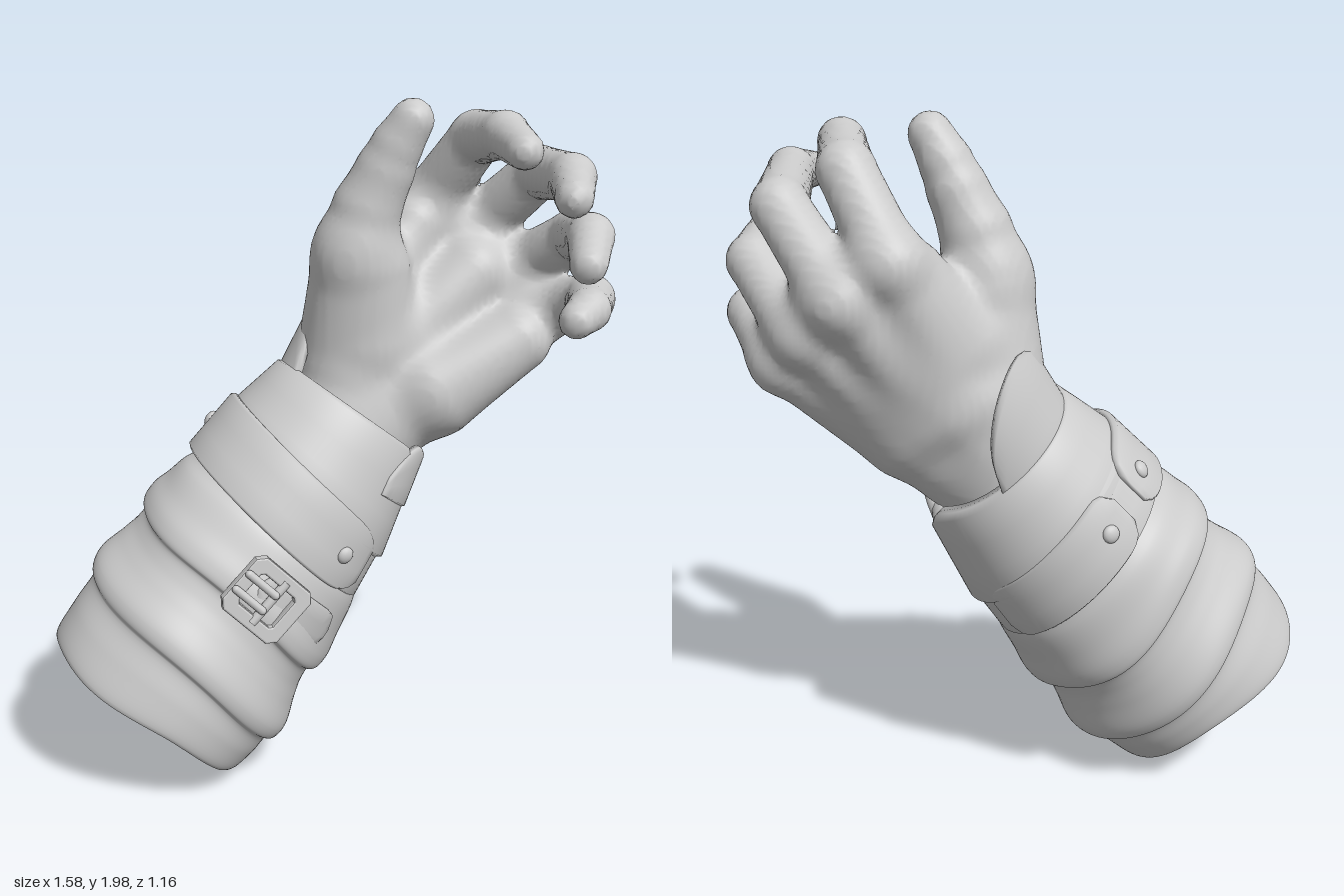
import * as THREE from 'three';
import { mergeVertices } from 'three/addons/utils/BufferGeometryUtils.js';

const mat = new THREE.MeshStandardMaterial({ color: 0xcccccc, roughness: 0.8 });
const V = (x, y, z) => new THREE.Vector3(x, y, z);
const rad = THREE.MathUtils.degToRad;
const clamp = THREE.MathUtils.clamp;
const TAU = Math.PI * 2;

function mesh(name, geometry) {
  const m = new THREE.Mesh(geometry, mat);
  m.name = name;
  return m;
}

function build(pos, index) {
  let g = new THREE.BufferGeometry();
  g.setAttribute('position', new THREE.Float32BufferAttribute(pos, 3));
  g.setIndex(index);
  g = mergeVertices(g, 1e-5);
  g.computeVertexNormals();
  return g;
}

// Skin a list of equally long rows of points
function loft(rows) {
  const n = rows[0].length, pos = [], index = [];
  rows.forEach(row => row.forEach(p => pos.push(p.x, p.y, p.z)));
  for (let i = 0; i < rows.length - 1; i++) {
    for (let j = 0; j < n - 1; j++) {
      const a = i * n + j, b = a + n;
      index.push(a, b, b + 1, a, b + 1, a + 1);
    }
  }
  return build(pos, index);
}

// Point around the forearm: angle 0 = palm side, 90 = little finger side
const around = (a, t, r) => V(r * Math.sin(a), t, r * Math.cos(a));

// Leather band or flap with rounded edges, wrapped round the forearm
const SECTION = [[0, 0], [0, .6], [.04, 1], [.35, 1], [.65, 1], [.96, 1], [1, .6], [1, 0], [.5, 0], [0, 0]];
function band(name, fromDeg, toDeg, low, high, radius, thick) {
  const a0 = rad(fromDeg), a1 = rad(toDeg), n = Math.ceil((toDeg - fromDeg) / 4);
  const full = toDeg - fromDeg >= 360, rows = [];
  for (let i = 0; i <= n; i++) {
    const s = i / n;
    const a = full && i === n ? a0 : a0 + s * (a1 - a0);
    const lo = low(a, s), hi = high(a, s);
    const row = SECTION.map(([v, h]) => {
      const t = lo + v * (hi - lo);
      return around(a, t, radius(t) - thick * (1 - h));
    });
    const mid = around(a, (lo + hi) / 2, radius((lo + hi) / 2) - thick / 2);
    if (!full && i === 0) rows.push(row.map(() => mid));
    rows.push(row);
    if (!full && i === n) rows.push(row.map(() => mid));
  }
  return mesh(name, loft(rows));
}

// Cloth sleeve with hollow end and slanting folds
function sleeve() {
  const profile = [[.35, 0], [.35, .3], [.2, .322], [.015, .335], [0, .345], [.012, .354], [.1, .36], [.185, .36],
    [.2, .377], [.24, .384], [.32, .36], [.38, .345], [.428, .346], [.44, .364], [.48, .368], [.55, .352],
    [.63, .335], [.69, .31], [.88, .28], [.93, .25], [.96, .13]];
  const pts = new THREE.CatmullRomCurve3(profile.map(([t, r]) => V(r, t, 0)), false, 'centripetal').getPoints(140);
  const rows = [], n = 96;
  for (let i = 0; i <= n; i++) {
    const a = (i % n) / n * TAU;
    const inset = Math.max(0, Math.cos(a - rad(110)));
    const lift = Math.max(0, Math.cos(a - rad(195))) ** 2;
    rows.push(pts.map(p => {
      const fold = clamp(p.y / .2, 0, 1) * clamp((.8 - p.y) / .3, 0, 1);
      const rim = 1 - clamp(p.y / .2, 0, 1);
      const t = p.y + fold * (-.055 * Math.sin(a) + .016 * Math.sin(3 * a + 1)) + rim * (.008 * Math.sin(4 * a) + .06 * lift - .022 * inset);
      const r = p.x * (1 + .02 * Math.sin(a) + fold * .01 * Math.sin(5 * a + 9 * p.y) - .07 * rim * inset);
      return around(a, t, r);
    }));
  }
  return mesh('sleeve', loft(rows));
}

// Buckle: frame with a hole, crossbar and two prongs
function buckle() {
  const g = new THREE.Group();
  g.name = 'buckle';
  const rect = (C, w, h, c) => {
    const p = [[-w + c, -h], [w - c, -h], [w, -h + c], [w, h - c], [w - c, h], [-w + c, h], [-w, h - c], [-w, -h + c]];
    return new C(p.map(([x, y]) => new THREE.Vector2(x, y)));
  };
  const shape = rect(THREE.Shape, .1, .09, .02);
  shape.holes.push(rect(THREE.Path, .07, .06, .012));
  g.add(mesh('buckleFrame', new THREE.ExtrudeGeometry(shape, {
    depth: .022, bevelEnabled: true, bevelSize: .006, bevelThickness: .006, bevelSegments: 2 })));
  const bar = mesh('buckleBar', new THREE.CylinderGeometry(.014, .014, .15, 12));
  bar.position.set(.01, 0, .02);
  g.add(bar);
  for (const y of [-.028, .028]) {
    const prong = mesh('buckleProng', new THREE.CapsuleGeometry(.012, .1, 4, 10));
    prong.rotation.z = Math.PI / 2;
    prong.position.set(-.045, y, .035);
    g.add(prong);
  }
  return g;
}

// Hand as rounded bones [ax,ay,az, bx,by,bz, radiusA, radiusB]
const PALM = [
  [-.08, .85, -.09, .08, 1.2, -.21, .2, .165], [-.06, .88, -.09, .21, 1.12, -.23, .17, .155],
  [.1, 1.25, -.26, .2, 1.63, -.42, .13, .088], [.15, 1.22, -.28, .32, 1.54, -.47, .13, .088],
  [.21, 1.17, -.28, .45, 1.43, -.45, .13, .084], [.26, 1.13, -.25, .55, 1.33, -.4, .14, .087],
  [.29, 1.14, -.21, .51, 1.28, -.3, .145, .105], [.02, 1.24, -.18, .05, 1.56, -.14, .15, .118],
  [.1, 1.3, -.18, .1, 1.5, -.16, .13, .11], [.08, 1.4, -.25, .18, 1.6, -.35, .105, .088],
  [.2, 1.3, -.25, .36, 1.46, -.36, .12, .11],
  [.24, 1.65, -.42, .39, 1.51, -.45, .082, .085], [.39, 1.51, -.45, .57, 1.36, -.38, .085, .08],
];
// Joint positions with radius, from base to tip
const FINGERS = [
  [[.05, 1.54, -.14, .118], [.085, 1.68, -.145, .1], [.135, 1.79, -.15, .084], [.168, 1.86, -.15, .073], [.212, 1.933, -.15, .062]],
  [[.2, 1.64, -.43, .088], [.36, 1.86, -.355, .079], [.47, 1.9, -.17, .066], [.545, 1.88, -.03, .052]],
  [[.32, 1.54, -.49, .088], [.54, 1.76, -.4, .078], [.665, 1.8, -.12, .066], [.69, 1.775, .05, .052]],
  [[.45, 1.43, -.47, .086], [.66, 1.59, -.35, .077], [.725, 1.64, -.12, .065], [.735, 1.59, .01, .052]],
  [[.55, 1.33, -.42, .085], [.72, 1.42, -.28, .073], [.735, 1.44, -.09, .061], [.71, 1.425, -.025, .052]],
];
const smin = (a, b, k) => {
  const h = Math.max(k - Math.abs(a - b), 0) / k;
  return Math.min(a, b) - h * h * k / 4;
};
function bone(x, y, z, [ax, ay, az, bx, by, bz, ra, rb]) {
  const dx = bx - ax, dy = by - ay, dz = bz - az, px = x - ax, py = y - ay, pz = z - az;
  const h = clamp((px * dx + py * dy + pz * dz) / (dx * dx + dy * dy + dz * dz), 0, 1);
  return Math.hypot(px - h * dx, py - h * dy, pz - h * dz) - ra - h * (rb - ra);
}
const FINGER_BONES = FINGERS.map(f => f.slice(1).map((q, i) => [...f[i].slice(0, 3), ...q.slice(0, 3), f[i][3], q[3]]));
function handField(x, y, z) {
  let d = 9;
  for (const b of PALM) d = smin(d, bone(x, y, z, b), .05);
  for (const f of FINGER_BONES) {
    let e = 9;
    for (const b of f) e = smin(e, bone(x, y, z, b), .01);
    d = smin(d, e, .04);
  }
  return d;
}

// Skin the bones with one smooth surface on a regular grid
function hand() {
  const o = [-.22, .9, -.66], h = .0165, N = [66, 70, 51];
  const id = (i, j, k) => i + N[0] * (j + N[1] * k);
  const step = [1, N[0], N[0] * N[1]];
  const f = new Float32Array(N[0] * N[1] * N[2]), cell = new Int32Array(f.length).fill(-1);
  const each = (lo, cut, fn) => {
    for (let k = lo; k < N[2] - cut; k++) for (let j = lo; j < N[1] - cut; j++) for (let i = lo; i < N[0] - cut; i++) fn(i, j, k, id(i, j, k));
  };
  each(0, 0, (i, j, k, c) => { f[c] = handField(o[0] + i * h, o[1] + j * h, o[2] + k * h); });
  const pos = [], index = [];
  each(0, 1, (i, j, k, c) => {
    const sum = [0, 0, 0];
    let n = 0;
    for (let a = 0; a < 3; a++) for (let e = 0; e < 4; e++) {
      const B = (a + 1) % 3, C = (a + 2) % 3, u = e & 1, v = e >> 1;
      const p = c + u * step[B] + v * step[C], f0 = f[p], f1 = f[p + step[a]];
      if ((f0 < 0) === (f1 < 0)) continue;
      sum[a] += f0 / (f0 - f1); sum[B] += u; sum[C] += v; n++;
    }
    if (!n) return;
    cell[c] = pos.length / 3;
    [i, j, k].forEach((q, a) => pos.push(o[a] + h * (q + sum[a] / n)));
  });
  each(1, 1, (i, j, k, c) => {
    for (let a = 0; a < 3; a++) {
      const inside = f[c] < 0;
      if (inside === (f[c + step[a]] < 0)) continue;
      const B = step[(a + 1) % 3], C = step[(a + 2) % 3];
      const q = [c - B - C, c - C, c, c - B].map(n => cell[n]);
      if (!inside) q.reverse();
      index.push(q[0], q[1], q[2], q[0], q[2], q[3]);
    }
  });
  return mesh('hand', build(pos, index));
}

export function createModel() {
  const model = new THREE.Group();
  model.name = 'gauntletArm';
  model.add(hand());

  // Forearm frame: x to the little finger, y to the wrist, z to the palm side
  const arm = new THREE.Group();
  arm.name = 'forearm';
  const d = V(.486, .778, -.398).normalize(), u = V(.848, -.53, 0).normalize();
  arm.quaternion.setFromRotationMatrix(new THREE.Matrix4().makeBasis(u, d, u.clone().cross(d)));
  arm.position.set(-.49, .225, .26);
  model.add(arm);

  // Cuff, straps and flaps
  const tilt = a => -.05 * Math.sin(a);
  const strapR = t => .333 - .1 * (t - .65);
  const cuffR = t => .314 - .24 * (t - .86);
  const point = s => .05 * Math.pow(Math.abs(2 * s - 1), 14);
  const tongue = s => Math.pow(Math.sin(Math.PI * clamp(s, .01, .99)), .5);
  const dip = a => .08 * Math.exp(-(((a - 1.85) / .4) ** 2));
  arm.add(
    sleeve(),
    band('cuff', -180, 180, a => .8 + tilt(a), a => 1.08 - dip(a), cuffR, .045),
    band('strap', -180, 180, a => .66 + tilt(a), a => .85 + tilt(a), strapR, .03),
    band('strapOverlap', -105, 64, (a, s) => .655 + tilt(a) + point(s), (a, s) => .865 + tilt(a) - point(s), t => strapR(t) + .014, .025),
    band('backStrapEnd', 150, 242, (a, s) => .66 + tilt(a) + point(s), (a, s) => .855 + tilt(a) - point(s), t => strapR(t) + .01, .025),
    band('buckleStrap', 14, 62, (a, s) => .47 + tilt(a) + point(s), (a, s) => .6 + tilt(a) - point(s), () => .367, .03),
    band('thumbFlap', -160, -48, () => 1, (a, s) => 1.03 + .28 * tongue(s), t => .255 + .14 * (t - 1.08), .025),
    band('sideFlap', 48, 100, () => .92, (a, s) => .95 + .15 * tongue(s), t => cuffR(t) + .008, .025),
  );

  // Rivets
  for (const [deg, lift] of [[44, .014], [108, 0], [-132, .01], [-92, .014]]) {
    const a = rad(deg), t = .755 + tilt(a);
    const rivet = mesh('rivet', new THREE.SphereGeometry(.026, 16, 10));
    rivet.position.copy(around(a, t, strapR(t) + lift));
    rivet.rotation.y = a;
    rivet.scale.z = .6;
    arm.add(rivet);
  }

  const b = buckle();
  b.position.copy(around(rad(19), .5, .362));
  b.rotation.set(0, rad(19), -.12);
  arm.add(b);
  return model;
}
